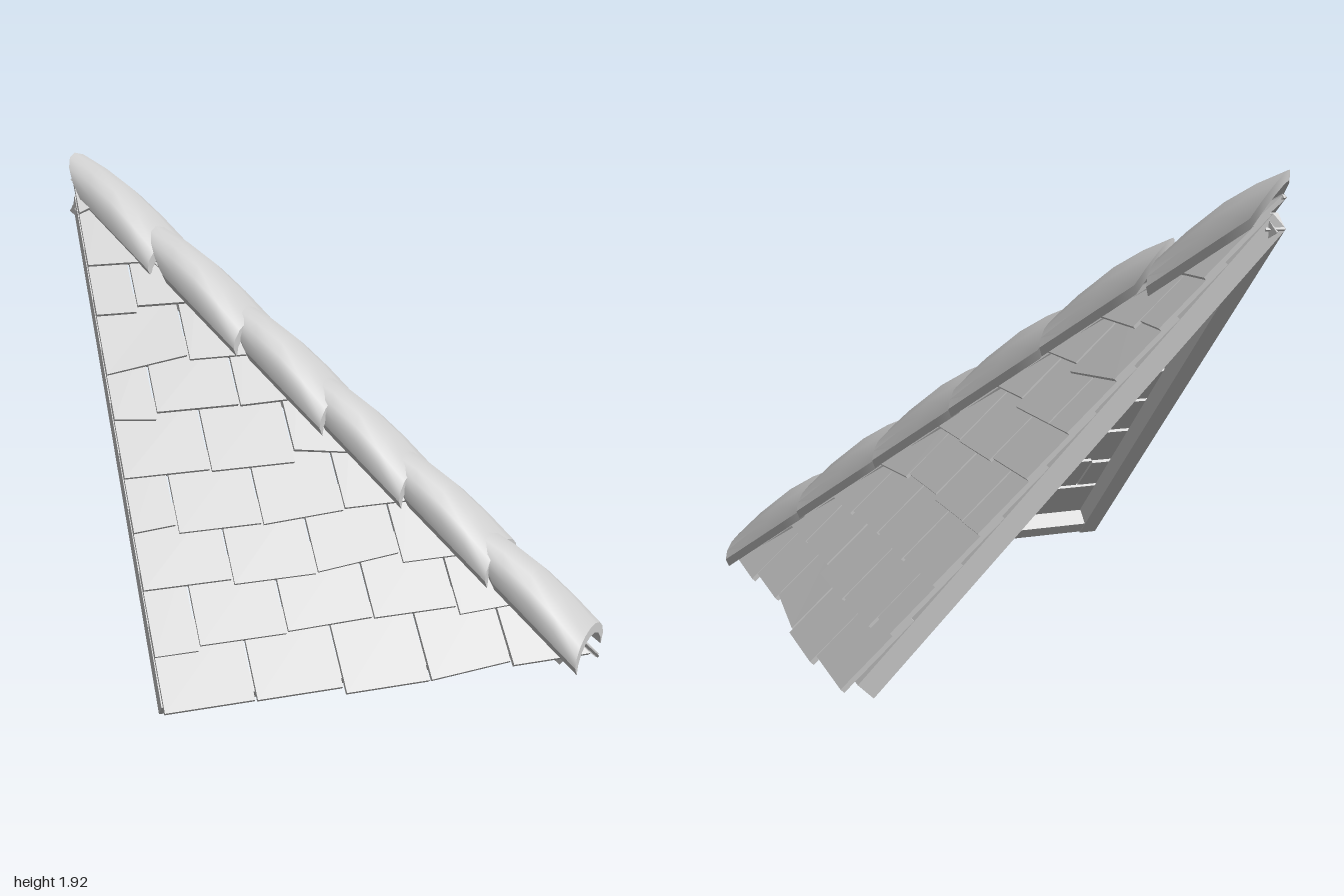
import * as THREE from 'three';
import { toCreasedNormals } from 'three/addons/utils/BufferGeometryUtils.js';

const slate = new THREE.MeshStandardMaterial({ color: 0xcccccc });
slate.name = 'pale slate';

// Both slopes fall at 45 degrees; the hip runs along x = z.
const DECK = 0.89;      // y + z on the underside of the shingles
const FRAME = 0.83;     // y + z through the centre of the beams

let seed = 11;
function rand(a, b) {
  seed = (seed * 16807) % 2147483647;
  return a + (b - a) * seed / 2147483647;
}

// Closed skin through equal rings of points, with flat ends; flip reverses the faces.
function loft(rings, flip, capFaces) {
  const n = rings[0].length, pos = rings.flat(2), index = [];
  const tri = (a, b, c) => (flip ? index.push(a, c, b) : index.push(a, b, c));
  const quad = (a, b, c, d) => { tri(a, b, c); tri(a, c, d); };
  for (let r = 0; r < rings.length - 1; r++) {
    for (let i = 0; i < n; i++) {
      const j = (i + 1) % n;
      quad(r * n + i, r * n + j, (r + 1) * n + j, (r + 1) * n + i);
    }
  }
  const last = (rings.length - 1) * n;
  for (const [a, b, c, d] of capFaces) {
    quad(d, c, b, a);
    quad(last + a, last + b, last + c, last + d);
  }
  const geo = new THREE.BufferGeometry();
  geo.setAttribute('position', new THREE.Float32BufferAttribute(pos, 3));
  geo.setIndex(index);
  return geo;
}

function mesh(geo, name) {
  const m = new THREE.Mesh(geo, slate);
  m.name = name;
  return m;
}

// Square timber between two points, turned so that one side faces "up".
function beam(from, to, up, width, name) {
  const a = new THREE.Vector3(...from), b = new THREE.Vector3(...to);
  const along = b.clone().sub(a);
  const m = mesh(new THREE.BoxGeometry(width, width, along.length()), name);
  const zAxis = along.normalize();
  const xAxis = new THREE.Vector3(...up).cross(zAxis).normalize();
  const yAxis = zAxis.clone().cross(xAxis);
  m.quaternion.setFromRotationMatrix(new THREE.Matrix4().makeBasis(xAxis, yAxis, zAxis));
  m.position.copy(a.add(b).multiplyScalar(0.5));
  return m;
}

// One shingle from x0 to x1, trimmed where it meets the hip.
function shingle(x0, x1, tip, swap) {
  const top = Math.max(tip - 0.27, -0.92);
  const slant = rand(0, 1) < 0.3 ? rand(-0.022, 0.022) : 0;
  const place = (x, z, lift) => {
    const k = lift * Math.SQRT1_2;
    const cx = Math.min(x, z + 0.02);
    const y = DECK - z + k;
    return swap ? [z + k, y, cx] : [cx, y, z + k];
  };
  const corners = [[x0, tip - 0.015 + slant, 0.02], [x1, tip - 0.015 - slant, 0.02],
    [x1, top, 0], [x0, top, 0]];
  const lower = corners.map(([x, z, l]) => place(x, z, l));
  const upper = corners.map(([x, z, l]) => place(x, z, l + 0.02));
  return loft([lower, upper], swap, [[0, 1, 2, 3]]).toNonIndexed();
}

// A whole slope of staggered courses.
function slope(swap) {
  const group = new THREE.Group();
  group.name = swap ? 'sideSlope' : 'frontSlope';
  const width = 0.355;
  for (let row = 0; row < 10; row++) {
    const tip = 0.87 - row * 0.1815;
    let x0 = -0.91;
    let x1 = row % 2 ? -0.73 : -0.55;
    while (x0 < tip) {
      const geo = shingle(x0, x1 - 0.01, tip + rand(-0.02, 0.02), swap);
      geo.computeVertexNormals();
      group.add(mesh(geo, 'shingle'));
      x0 = x1;
      x1 += width + rand(-0.008, 0.008);
    }
  }
  return group;
}

// Arched cap over the hip, pointed at its upper end.
function hipCap(t0, side, lift) {
  const N = 8, rings = [], caps = [];
  for (let k = 0; k <= 4; k++) {
    const s = k / 4, bulge = Math.sin(Math.PI * s), outer = [], inner = [];
    for (let i = 0; i <= N; i++) {
      const w = Math.cos(Math.PI * i / N), h = Math.sin(Math.PI * i / N);
      const t = t0 + 0.35 * s + 0.08 * (1 - s) * (1 - h);
      const y = 0.94 - t + lift + h * (0.1 + 0.045 * bulge);
      const half = 0.13 + 0.05 * s;
      const put = (r, drop) => {
        const o = w * r * Math.SQRT1_2 + side;
        return [t + o, y - drop, t - o];
      };
      outer.push(put(half, 0));
      inner.unshift(put(half - 0.025, 0.04));
    }
    rings.push([...outer, ...inner]);
  }
  for (let i = 0; i < N; i++) caps.push([i, i + 1, 2 * N - i, 2 * N + 1 - i]);
  return mesh(toCreasedNormals(loft(rings, false, caps), 0.7), 'hipCap');
}

export function createModel() {
  const model = new THREE.Group();
  model.name = 'hipRoofCorner';

  // Shingled slopes
  model.add(slope(false), slope(true));

  // Timber frame under the slopes
  const edge = -0.87, e = 0.745;
  model.add(
    beam([edge, FRAME - e, e], [e, FRAME - e, e], [0, 1, 1], 0.08, 'frontEaveBeam'),
    beam([e, FRAME - e, edge], [e, FRAME - e, e], [1, 1, 0], 0.08, 'sideEaveBeam'),
    beam([edge, 0.05, 0.78], [edge, 1.72, -0.89], [0, 1, 1], 0.085, 'leftRafter'),
    beam([0.78, 0.05, edge], [-0.89, 1.72, edge], [1, 1, 0], 0.085, 'backRafter'),
    beam([0.8, 0.04, 0.8], [-0.88, 1.72, -0.88], [1, 2, 1], 0.1, 'hipRafter'),
  );

  // Hip caps: position along the hip, sideways shift, lift
  const caps = [[-0.93, 0.045, -0.05], [-0.6, 0, 0], [-0.31, 0, 0],
    [-0.05, 0, 0], [0.225, 0, 0], [0.51, -0.015, 0]];
  for (const [t, side, lift] of caps) model.add(hipCap(t, side, lift));

  return model;
}
